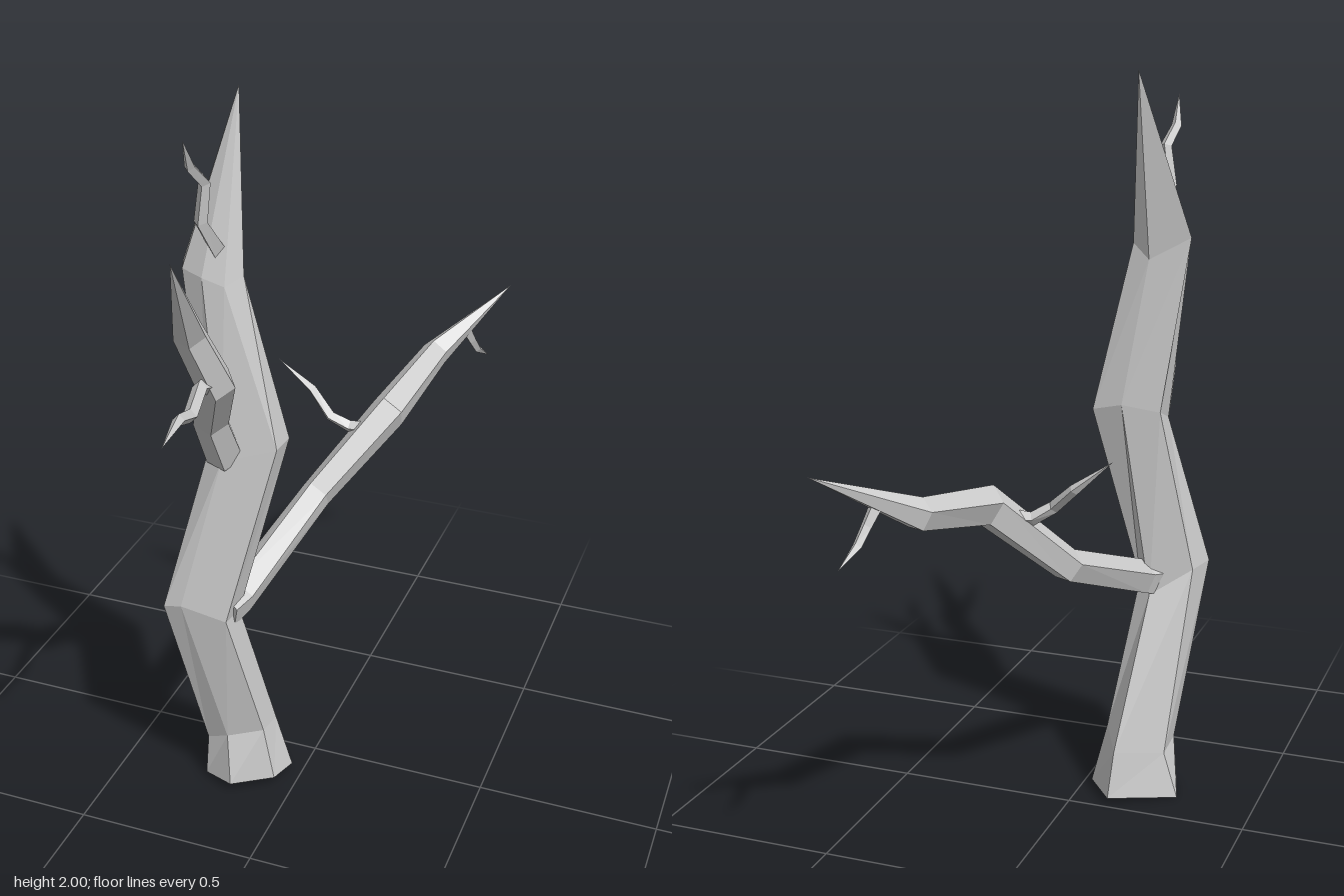
import * as THREE from 'three';

const material = new THREE.MeshStandardMaterial({ color: 0xcccccc, flatShading: true });

// Joins equal-sized rings of points into a faceted skin, closed at the start
function loft(name, rings) {
  const n = rings[0].length;
  const pos = [];
  const tri = (a, b, c) => pos.push(...a, ...b, ...c);
  for (let r = 0; r < rings.length - 1; r++) {
    const last = r === rings.length - 2;
    for (let i = 0; i < n; i++) {
      const j = (i + 1) % n;
      const lo = rings[r], hi = rings[r + 1];
      tri(lo[i], lo[j], hi[j]);
      if (!last) tri(lo[i], hi[j], hi[i]);
    }
  }
  for (let i = 1; i < n - 1; i++) tri(rings[0][0], rings[0][i + 1], rings[0][i]);
  const geo = new THREE.BufferGeometry();
  geo.setAttribute('position', new THREE.Float32BufferAttribute(pos, 3));
  geo.computeVertexNormals();
  const mesh = new THREE.Mesh(geo, material);
  mesh.name = name;
  return mesh;
}

// Tapering limb through [x, y, z, radius] stations, ending in a point
function limb(name, stations, sides, ref) {
  const pts = stations.map(s => new THREE.Vector3(s[0], s[1], s[2]));
  const end = pts.length - 1;
  const rings = pts.map((p, k) => {
    const before = p.clone().sub(pts[Math.max(k - 1, 0)]).normalize();
    const after = pts[Math.min(k + 1, end)].clone().sub(p).normalize();
    const t = before.add(after).normalize();
    const u = ref.clone().addScaledVector(t, -ref.dot(t)).normalize();
    const v = t.clone().cross(u);
    return Array.from({ length: sides }, (_, i) => {
      const a = (i / sides) * Math.PI * 2;
      const r = k === end ? 0 : stations[k][3];
      return p.clone()
        .addScaledVector(u, Math.cos(a) * r)
        .addScaledVector(v, Math.sin(a) * r).toArray();
    });
  });
  return loft(name, rings);
}

export function createModel() {
  const tree = new THREE.Group();
  tree.name = 'deadTree';
  const X = new THREE.Vector3(1, 0, 0);
  const Y = new THREE.Vector3(0, 1, 0);

  // Crooked six-sided trunk with a flared foot
  const tip = [-0.14, 2, 0.135];
  tree.add(loft('trunk', [
    [[-0.25, 0.01, 0.22], [-0.155, 0.03, 0.27], [-0.05, 0.03, 0.2],
      [-0.03, 0.02, 0.11], [-0.11, 0.02, 0.01], [-0.28, 0, 0.12]],
    [[-0.24, 0.14, 0.22], [-0.175, 0.17, 0.235], [-0.08, 0.19, 0.2],
      [-0.07, 0.19, 0.13], [-0.12, 0.15, 0.035], [-0.24, 0.13, 0.12]],
    [[-0.3, 0.64, 0.34], [-0.25, 0.65, 0.34], [-0.14, 0.6, 0.3],
      [-0.13, 0.6, 0.23], [-0.17, 0.57, 0.19], [-0.28, 0.64, 0.24]],
    [[-0.2, 1.07, 0.25], [-0.15, 1.07, 0.275], [-0.02, 1.1, 0.225],
      [-0.015, 1.1, 0.15], [-0.1, 1.12, 0.14], [-0.2, 1.1, 0.17]],
    [[-0.26, 1.56, 0.23], [-0.2, 1.55, 0.25], [-0.145, 1.53, 0.24],
      [-0.11, 1.55, 0.2], [-0.16, 1.51, 0.18], [-0.27, 1.57, 0.2]],
    Array(6).fill(tip),
  ]));

  // Long branch reaching backwards, with a collar at the trunk
  tree.add(limb('backBranch', [
    [-0.17, 0.61, 0.25, 0.06], [-0.145, 0.62, 0.19, 0.05], [-0.06, 0.76, -0.17, 0.046],
    [0.09, 0.96, -0.35, 0.054], [0.135, 1.02, -0.65, 0.042], [0.29, 1.16, -0.89],
  ], 5, Y));

  // Shorter branch rising to the front
  tree.add(limb('frontBranch', [
    [-0.155, 1.07, 0.24, 0.05], [-0.155, 1.21, 0.32, 0.046], [-0.075, 1.385, 0.46, 0.048],
    [-0.1, 1.54, 0.54, 0.04], [-0.035, 1.8, 0.76],
  ], 5, X));

  // Thin crooked twigs
  const twigs = {
    frontBranchTwig: [Y, [-0.085, 1.38, 0.46, 0.024], [-0.08, 1.41, 0.54, 0.018],
      [-0.05, 1.4, 0.66, 0.017], [-0.04, 1.43, 0.74, 0.014], [-0.01, 1.44, 0.89]],
    trunkTwig: [X, [-0.17, 1.61, 0.21, 0.024], [-0.19, 1.7, 0.265, 0.018],
      [-0.175, 1.8, 0.27, 0.016], [-0.19, 1.85, 0.315, 0.014], [-0.18, 1.93, 0.37]],
    backBranchTwig: [Y, [0.05, 0.92, -0.3, 0.022], [-0.01, 0.92, -0.295, 0.018],
      [-0.06, 0.95, -0.28, 0.016], [-0.125, 1.01, -0.31, 0.014], [-0.225, 1.09, -0.305]],
    backBranchTipTwig: [X, [0.195, 1.07, -0.74, 0.018], [0.21, 1.02, -0.77, 0.014],
      [0.22, 0.98, -0.8, 0.012], [0.24, 0.937, -0.86]],
  };
  for (const [name, [ref, ...stations]] of Object.entries(twigs)) {
    tree.add(limb(name, stations, 4, ref));
  }
  return tree;
}
